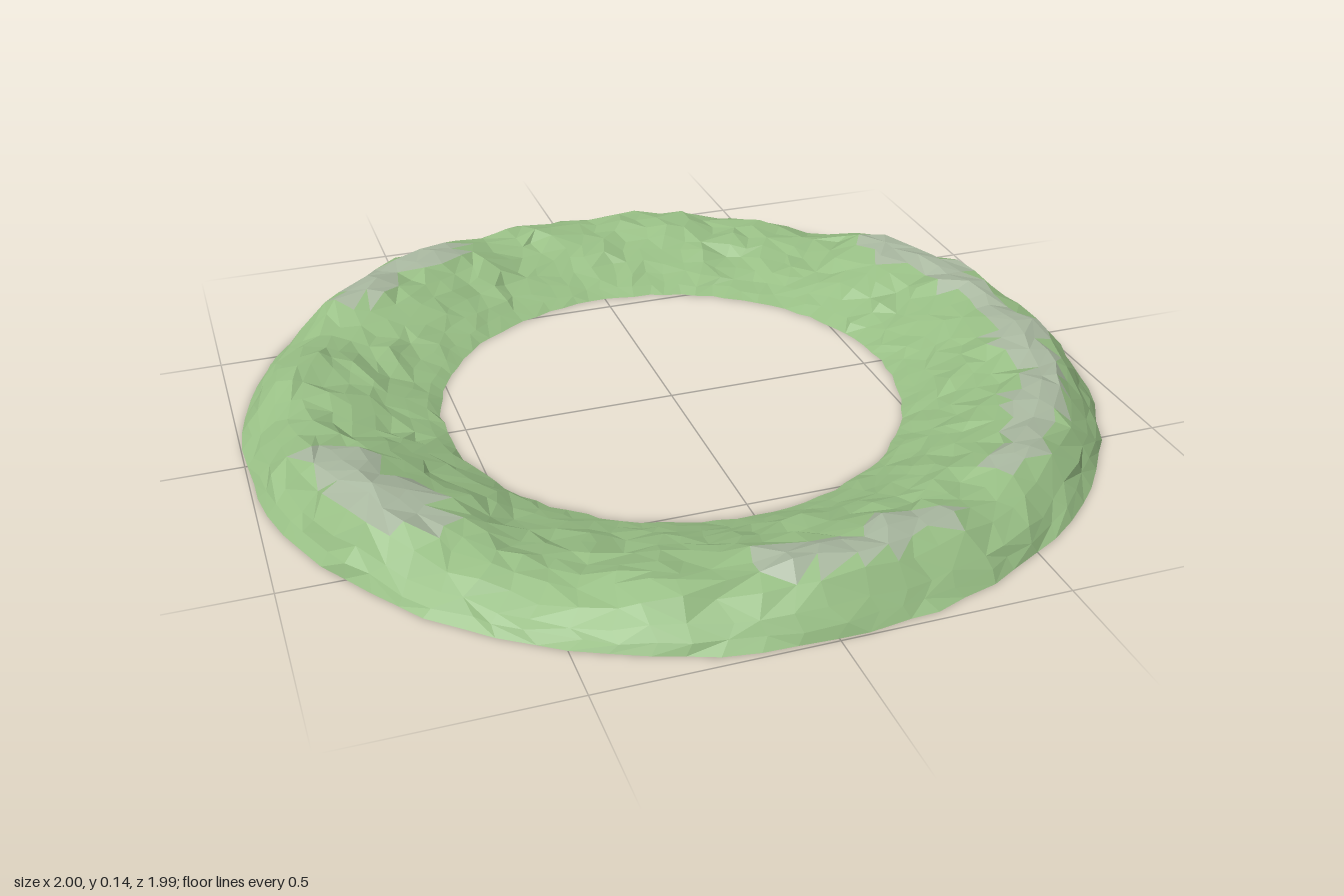
import * as THREE from 'three';

const SEGMENTS = 84;

// Cross-section from inner rim to outer rim: radius, share of crest height
const PROFILE = [
  [0.545, 0], [0.58, 0.16], [0.62, 0.31], [0.665, 0.47], [0.71, 0.63], [0.755, 0.78],
  [0.80, 0.91], [0.845, 1], [0.885, 0.99], [0.925, 0.8], [0.96, 0.46], [0.98, 0.22], [0.997, 0],
];

// Crest height every 15 degrees, from +x towards +z
const CREST = [
  0.113, 0.115, 0.114, 0.113, 0.1, 0.108, 0.115, 0.1, 0.07, 0.085, 0.128, 0.118,
  0.08, 0.098, 0.075, 0.112, 0.115, 0.088, 0.09, 0.09, 0.078, 0.065, 0.11, 0.113,
];

// Repeatable noise in -1..1
function noise(i, j, seed) {
  const s = Math.sin(i * 127.1 + j * 311.7 + seed * 74.7) * 43758.5453;
  return (s - Math.floor(s)) * 2 - 1;
}

function crestHeight(turn) {
  const n = CREST.length;
  const t = ((turn % 1) + 1) % 1 * n;
  const k = Math.floor(t);
  const f = (1 - Math.cos((t - k) * Math.PI)) / 2;
  return CREST[k % n] * (1 - f) + CREST[(k + 1) % n] * f;
}

function createRidgeGeometry() {
  const cols = PROFILE.length;
  const position = [];
  for (let i = 0; i < SEGMENTS; i++) {
    for (let j = 0; j < cols; j++) {
      const rim = j === 0 || j === cols - 1;
      const turn = (i + (rim ? 0.15 : 0.3) * noise(i, j, 1)) / SEGMENTS;
      const angle = turn * Math.PI * 2;
      const [radius, share] = PROFILE[j];
      const r = radius + (rim ? 0.005 : j > 8 ? 0.007 : 0.012) * noise(i, j, 2);
      // Rolling gullies plus small rough facets
      const gully = 0.006 * Math.sin(angle * 17 + j * 0.7) + 0.004 * Math.sin(angle * 29 - j);
      const rough = 0.007 * noise(i, j, 3);
      const y = rim ? 0 : Math.max(0.004, crestHeight(turn) * share + (gully + rough) * Math.min(1, share * 1.5));
      position.push(r * Math.cos(angle), y, r * Math.sin(angle));
    }
  }

  // Split the faces into grassy slopes and bare rocky crests by height
  const grass = [], rock = [];
  const addFace = (a, b, c) => {
    const height = (position[a * 3 + 1] + position[b * 3 + 1] + position[c * 3 + 1]) / 3;
    (height > 0.102 ? rock : grass).push(a, b, c);
  };
  for (let i = 0; i < SEGMENTS; i++) {
    for (let j = 0; j < cols - 1; j++) {
      const a = i * cols + j, b = a + 1;
      const d = ((i + 1) % SEGMENTS) * cols + j, c = d + 1;
      if (noise(i, j, 4) > 0) {
        addFace(a, c, b);
        addFace(a, d, c);
      } else {
        addFace(a, d, b);
        addFace(b, d, c);
      }
    }
  }

  const geometry = new THREE.BufferGeometry();
  geometry.setAttribute('position', new THREE.Float32BufferAttribute(position, 3));
  geometry.setIndex([...grass, ...rock]);
  geometry.addGroup(0, grass.length, 0);
  geometry.addGroup(grass.length, rock.length, 1);
  geometry.computeVertexNormals();
  return geometry;
}

export function createModel() {
  const grass = new THREE.MeshStandardMaterial({ color: 0x98bf85, flatShading: true, side: THREE.DoubleSide });
  grass.name = 'grass green';
  const rock = new THREE.MeshStandardMaterial({ color: 0xa9b8a0, flatShading: true, side: THREE.DoubleSide });
  rock.name = 'rock grey';

  const group = new THREE.Group();
  group.name = 'hillRing';
  // Open-bottomed ring of hills
  const ridge = new THREE.Mesh(createRidgeGeometry(), [grass, rock]);
  ridge.name = 'ridge';
  group.add(ridge);
  return group;
}
